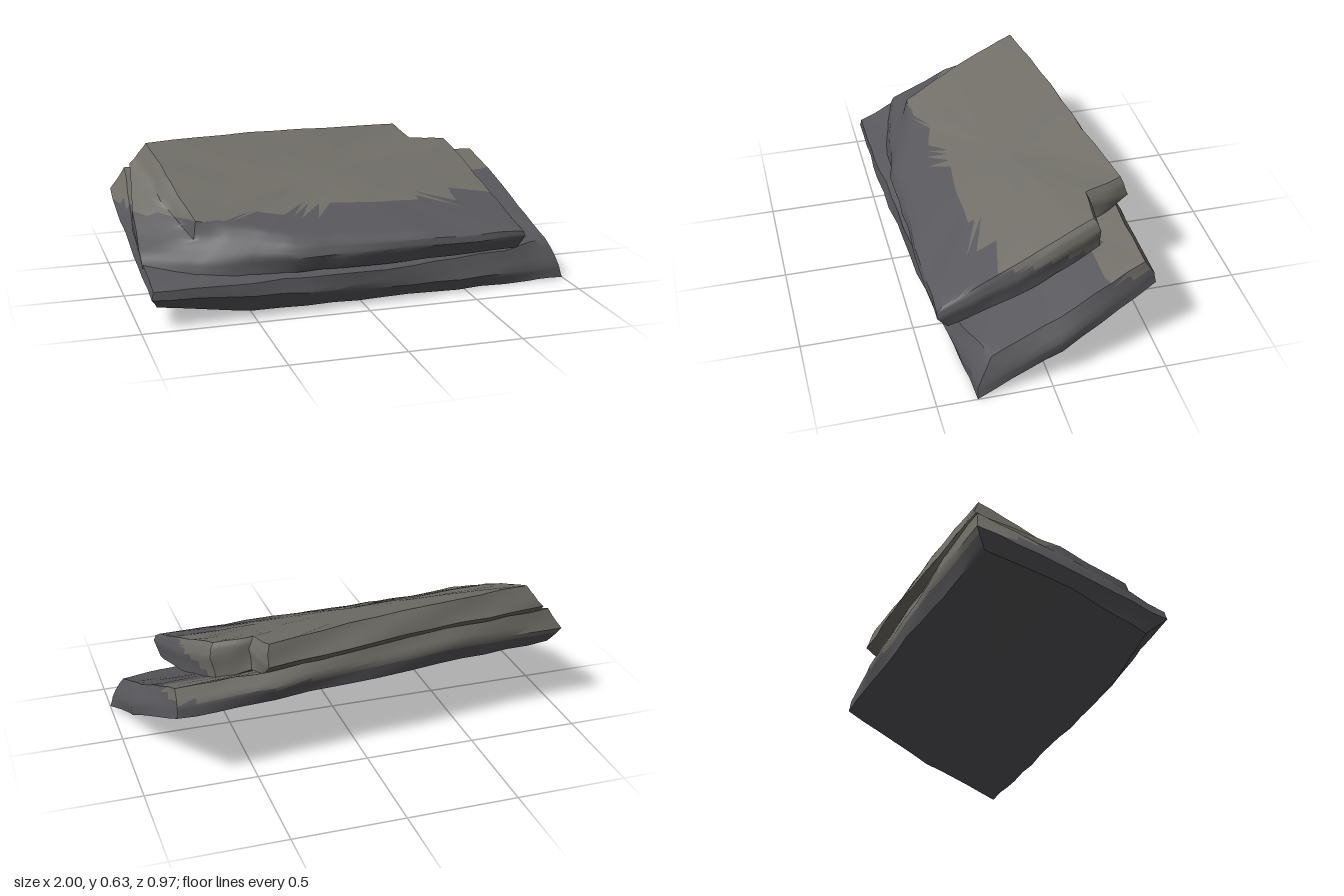
import * as THREE from 'three';
import { toCreasedNormals } from 'three/addons/utils/BufferGeometryUtils.js';

const mossy = new THREE.MeshStandardMaterial({ color: 0x706e67 });
const slate = new THREE.MeshStandardMaterial({ color: 0x58585c });
const TONE_HEIGHT = 0.4; // rock above this height is warmer in tone

// smooth repeatable wobble, about -1..1
const wobble = (x, y, z) =>
  0.5 * Math.sin(9 * x + 5 * z + 31 * y) + 0.3 * Math.sin(23 * x - 17 * z + 3) + 0.2 * Math.sin(41 * x + 37 * z + 19 * y);

// split each side of a corner loop into short steps
function subdivide(loop, steps) {
  const out = [];
  loop.forEach((c, i) => {
    const a = new THREE.Vector3(...c);
    const b = new THREE.Vector3(...loop[(i + 1) % loop.length]);
    for (let s = 0; s < steps; s++) out.push(a.clone().lerp(b, s / steps));
  });
  return out;
}

// closed stone slab: centre of underside, stacked outlines, centre of top
function slabGeometry(loops, under, over, rough) {
  const outlines = loops.map((l) => subdivide(l, 5));
  const rings = [];
  const shrink = (ring, centre, t) => ring.map((p) => p.clone().lerp(new THREE.Vector3(...centre), t));
  const first = outlines[0];
  const last = outlines[outlines.length - 1];

  for (const t of [1, 0.65, 0.3, 0.08]) rings.push(shrink(first, under, t));
  // side walls, with thin strata between the outlines
  outlines.forEach((ring, r) => {
    rings.push(ring);
    const next = outlines[r + 1];
    if (next) for (const t of [0.35, 0.7]) rings.push(ring.map((p, i) => p.clone().lerp(next[i], t)));
  });
  for (const t of [0.05, 0.25, 0.5, 0.75, 1]) rings.push(shrink(last, over, t));

  // weathering: ragged in and out, faint undulation up and down
  const n = first.length;
  const pos = [];
  for (const ring of rings) {
    for (const p of ring) {
      const w = wobble(p.x, p.y, p.z);
      const len = Math.hypot(p.x, p.z) || 1;
      const flat = Math.min(1, len * 2);
      const x = p.x + (p.x / len) * w * rough * 0.7 * flat;
      const z = p.z + (p.z / len) * w * rough * flat;
      const y = p.y + rough * 0.45 * flat * wobble(p.z, 0.2, p.x);
      pos.push(THREE.MathUtils.clamp(x, -1, 1), Math.max(0, y), z);
    }
  }
  // the first and last rings are single points, so each needs only one triangle per step
  const idx = [];
  for (let r = 0; r < rings.length - 1; r++) {
    for (let i = 0; i < n; i++) {
      const j = (i + 1) % n;
      const a = r * n + i, b = r * n + j, c = b + n, d = a + n;
      if (r > 0) idx.push(a, b, c);
      if (r < rings.length - 2) idx.push(a, c, d);
    }
  }
  // at the top point the remaining triangle already closes the cap
  const geo = new THREE.BufferGeometry();
  geo.setAttribute('position', new THREE.Float32BufferAttribute(pos, 3));
  geo.setIndex(idx);
  return toCreasedNormals(geo, 0.7);
}

// divide a slab's faces by height into its two stone tones
function makeSlab(name, geo) {
  const group = new THREE.Group();
  group.name = name;
  const p = geo.attributes.position.array;
  const nr = geo.attributes.normal.array;
  const sets = [
    { part: 'UpperStone', mat: mossy, pos: [], nor: [] },
    { part: 'LowerStone', mat: slate, pos: [], nor: [] },
  ];
  for (let i = 0; i < p.length; i += 9) {
    const set = sets[(p[i + 1] + p[i + 4] + p[i + 7]) / 3 > TONE_HEIGHT ? 0 : 1];
    for (let k = i; k < i + 9; k++) {
      set.pos.push(p[k]);
      set.nor.push(nr[k]);
    }
  }
  for (const s of sets) {
    const g = new THREE.BufferGeometry();
    g.setAttribute('position', new THREE.Float32BufferAttribute(s.pos, 3));
    g.setAttribute('normal', new THREE.Float32BufferAttribute(s.nor, 3));
    const mesh = new THREE.Mesh(g, s.mat);
    mesh.name = name + s.part;
    group.add(mesh);
  }
  return group;
}

export function createModel() {
  const model = new THREE.Group();
  model.name = 'stackedRock';

  // outlines run back, left, front, right; each corner is x, y, z
  const lowerLoops = [
    [[-0.95, 0.34, -0.29], [-0.95, 0.22, 0.08], [-0.915, 0.08, 0.4], [-0.5, 0.02, 0.415], [0.1, 0.015, 0.38],
      [0.7, 0.005, 0.345], [1, 0, 0.325], [0.95, 0.15, -0.05], [0.84, 0.34, -0.49], [0.4, 0.34, -0.45], [-0.4, 0.34, -0.36]],
    [[-0.998, 0.42, -0.335], [-0.98, 0.27, 0.1], [-0.955, 0.14, 0.488], [-0.5, 0.11, 0.472], [0.1, 0.08, 0.435],
      [0.7, 0.06, 0.365], [0.985, 0.05, 0.32], [0.955, 0.21, -0.05], [0.84, 0.39, -0.485], [0.4, 0.41, -0.465], [-0.4, 0.44, -0.385]],
    [[-0.935, 0.52, -0.315], [-0.96, 0.33, 0.1], [-0.945, 0.175, 0.48], [-0.5, 0.165, 0.465], [0.1, 0.16, 0.425],
      [0.7, 0.16, 0.325], [0.935, 0.175, 0.25], [0.91, 0.295, -0.05], [0.83, 0.458, -0.435], [0.42, 0.47, -0.435], [-0.4, 0.51, -0.365]],
  ];
  model.add(makeSlab('lowerSlab', slabGeometry(lowerLoops, [0, 0.172, 0], [0, 0.3, 0], 0.012)));

  // the upper slab has a shelf running down its left side, below the top edge
  const upperLoops = [
    [[-0.9, 0.49, -0.29], [-0.955, 0.33, 0.05], [-0.955, 0.19, 0.34], [-0.65, 0.175, 0.4], [-0.3, 0.18, 0.42],
      [0.2, 0.18, 0.4], [0.73, 0.19, 0.39], [0.7, 0.28, 0.05], [0.63, 0.4, -0.31], [0.47, 0.43, -0.32],
      [0.44, 0.46, -0.42], [-0.2, 0.48, -0.36]],
    [[-0.905, 0.535, -0.315], [-0.955, 0.4, 0.03], [-0.955, 0.27, 0.3], [-0.65, 0.255, 0.385], [-0.3, 0.25, 0.435],
      [0.2, 0.255, 0.445], [0.755, 0.255, 0.44], [0.715, 0.36, 0.08], [0.645, 0.5, -0.3], [0.475, 0.52, -0.3],
      [0.44, 0.515, -0.49], [-0.2, 0.535, -0.41]],
    [[-0.875, 0.56, -0.31], [-0.82, 0.435, 0.04], [-0.735, 0.33, 0.295], [-0.57, 0.325, 0.335], [-0.3, 0.295, 0.415],
      [0.2, 0.29, 0.435], [0.745, 0.28, 0.44], [0.7, 0.395, 0.09], [0.635, 0.54, -0.285], [0.46, 0.55, -0.295],
      [0.435, 0.57, -0.465], [-0.2, 0.575, -0.39]],
    [[-0.835, 0.635, -0.285], [-0.775, 0.515, 0.03], [-0.71, 0.405, 0.27], [-0.55, 0.38, 0.29], [-0.3, 0.335, 0.37],
      [0.2, 0.315, 0.405], [0.73, 0.3, 0.41], [0.685, 0.42, 0.1], [0.62, 0.56, -0.27], [0.45, 0.57, -0.285],
      [0.42, 0.61, -0.445], [-0.2, 0.63, -0.365]],
  ];
  model.add(makeSlab('upperSlab', slabGeometry(upperLoops, [-0.1, 0.29, 0], [-0.08, 0.5, 0], 0.012)));

  return model;
}
